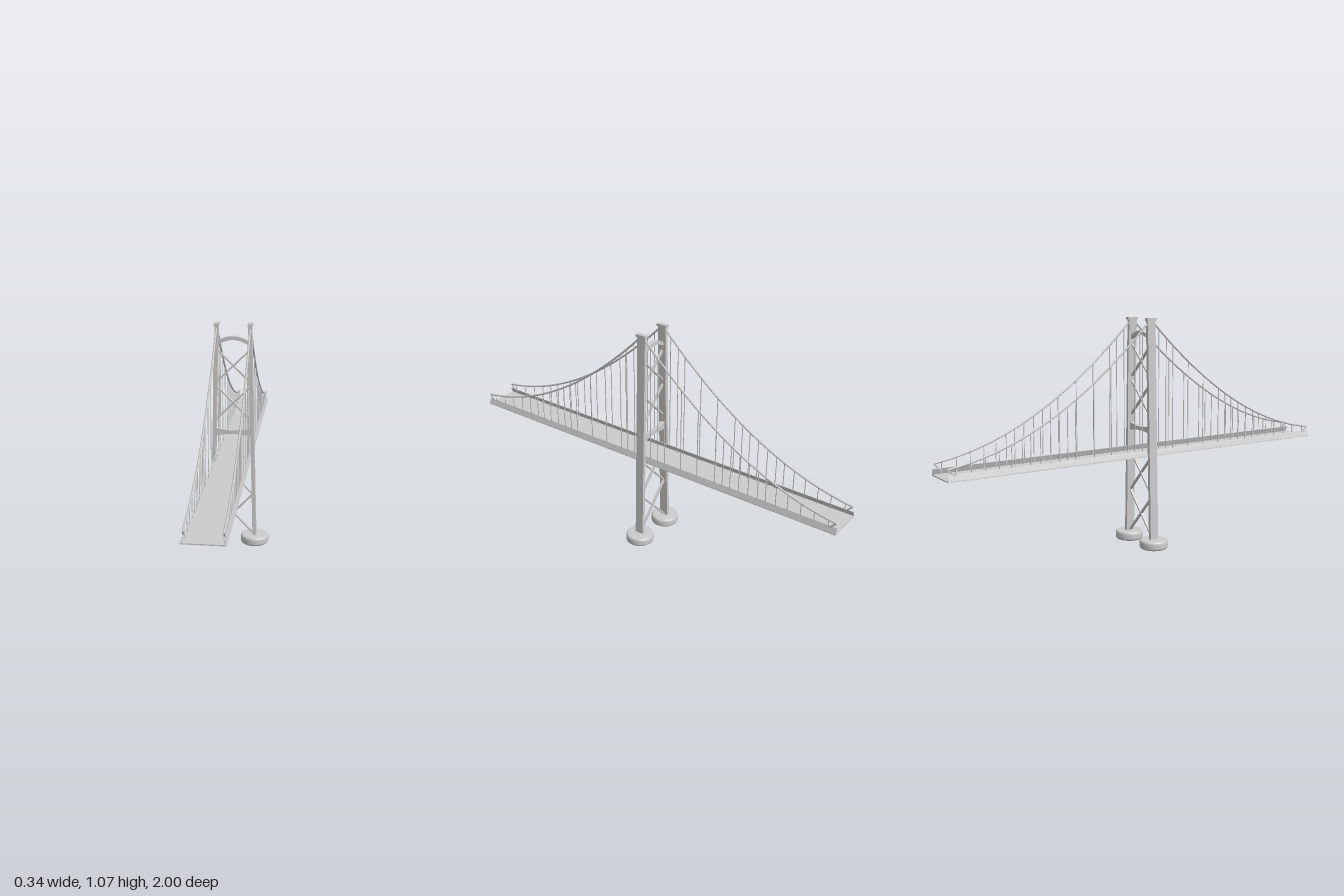
import * as THREE from 'three';

const UP = new THREE.Vector3(0, 1, 0);

export function createModel() {
  const model = new THREE.Group();
  const grey = new THREE.MeshStandardMaterial({ color: 0xcccccc });
  const greyDouble = new THREE.MeshStandardMaterial({ color: 0xcccccc, side: THREE.DoubleSide });

  function add(name, geometry, parent = model, material = grey) {
    const mesh = new THREE.Mesh(geometry, material);
    mesh.name = name;
    parent.add(mesh);
    return mesh;
  }
  function group(name) {
    const g = new THREE.Group();
    g.name = name;
    model.add(g);
    return g;
  }
  // straight bar of rectangular section between two points
  function bar(name, a, b, w, d, parent) {
    const p = new THREE.Vector3(...a), q = new THREE.Vector3(...b);
    const dir = q.clone().sub(p);
    const mesh = add(name, new THREE.BoxGeometry(w, dir.length(), d), parent);
    mesh.position.copy(p).add(q).multiplyScalar(0.5);
    mesh.quaternion.setFromUnitVectors(UP, dir.normalize());
    return mesh;
  }

  // tower legs lean inwards as they rise
  const legX = (y) => 0.103 - 0.0255 * y;
  const cableX = 0.077;
  const cableY = (z) => 1.065 - 1.03 * Math.abs(z) + 0.45 * z * z;
  const deckY = 0.436;

  const tower = group('tower');
  for (const s of [-1, 1]) {
    // leg, sheared so its section stays level
    const leg = new THREE.BoxGeometry(0.016, 1.05, 0.042);
    leg.translate(0, 0.535, 0);
    const p = leg.attributes.position;
    for (let i = 0; i < p.count; i++) p.setX(i, p.getX(i) + s * legX(p.getY(i)));
    leg.computeVertexNormals();
    add('towerLeg', leg, tower);

    // cap under the cable
    add('legCap', new THREE.BoxGeometry(0.022, 0.012, 0.052), tower).position.set(s * 0.077, 1.065, 0);

    // round footing, hollow underneath
    const profile = [[0, 0.03], [0.048, 0.03], [0.052, 0], [0.06, 0], [0.065, 0.004], [0.067, 0.01],
      [0.067, 0.031], [0.064, 0.038], [0.058, 0.042], [0, 0.042]].map(([x, y]) => new THREE.Vector2(x, y));
    add('footing', new THREE.LatheGeometry(profile, 40), tower, greyDouble).position.x = s * 0.103;
  }

  // crossed braces
  for (const [y0, y1] of [[0.042, 0.245], [0.245, 0.436], [0.613, 0.775], [0.795, 0.947]]) {
    for (const s of [-1, 1]) {
      bar('crossBrace', [-s * (legX(y0) - 0.004), y0, 0], [s * (legX(y1) - 0.004), y1, 0], 0.007, 0.012, tower);
    }
  }
  bar('deckBeam', [-0.09, deckY, 0], [0.09, deckY, 0], 0.006, 0.02, tower);

  // curved cross beams: edges given as [end height, middle height]
  function archedBeam(name, half, lower, upper) {
    const shape = new THREE.Shape();
    shape.moveTo(-half, lower[0]);
    shape.quadraticCurveTo(0, 2 * lower[1] - lower[0], half, lower[0]);
    shape.lineTo(half, upper[0]);
    shape.quadraticCurveTo(0, 2 * upper[1] - upper[0], -half, upper[0]);
    const g = new THREE.ExtrudeGeometry(shape, { depth: 0.02, bevelEnabled: false, curveSegments: 20 });
    g.translate(0, 0, -0.01);
    add(name, g, tower);
  }
  archedBeam('topArch', 0.076, [0.966, 0.994], [0.985, 1.011]);
  archedBeam('middleBeam', 0.086, [0.536, 0.547], [0.577, 0.564]);

  // roadway plate with edge girders leaning inwards
  const deck = group('deck');
  add('roadway', new THREE.BoxGeometry(0.174, 0.005, 2), deck).position.y = deckY;
  for (const s of [-1, 1]) {
    const girder = add('edgeGirder', new THREE.BoxGeometry(0.003, 0.031, 2), deck);
    girder.position.set(s * 0.081, 0.449, 0);
    girder.rotation.z = s * 0.36;
  }

  // main cables, end ties and hangers
  const hangerZ = [0.045, 0.087, 0.125, 0.215, 0.305, 0.4, 0.44, 0.48, 0.525, 0.573,
    0.62, 0.66, 0.71, 0.767, 0.83, 0.893, 0.96];
  const cables = group('cables');
  for (const s of [-1, 1]) {
    for (const e of [-1, 1]) {
      const points = [];
      for (let i = 0; i <= 16; i++) {
        const z = e * 0.995 * i / 16;
        points.push(new THREE.Vector3(s * cableX, cableY(z), z));
      }
      add('mainCable', new THREE.TubeGeometry(new THREE.CatmullRomCurve3(points), 40, 0.0045, 8), cables);
      bar('endTie', [s * cableX, cableY(0.995), e * 0.995], [s * cableX, 0.455, e * 0.965], 0.006, 0.006, cables);
      for (const z of hangerZ) {
        bar('hanger', [s * cableX, deckY, e * z], [s * cableX, cableY(z), e * z], 0.003, 0.003, cables);
      }
    }
  }
  return model;
}
